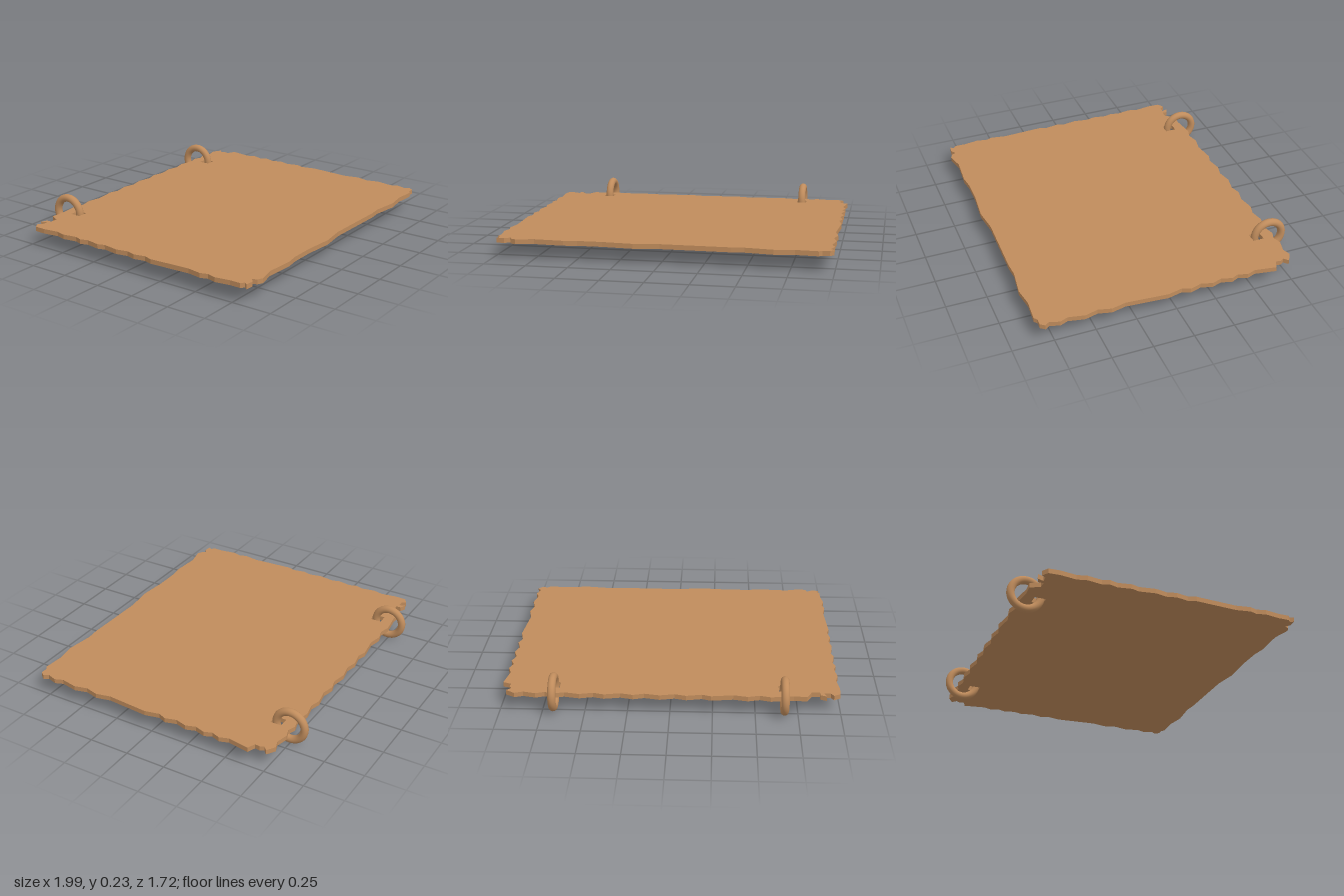
import * as THREE from 'three';

const BOARD_TOP = 0.122;
const BOARD_THICKNESS = 0.029;
const RING_XS = [-0.67, 0.683];

// Pairs of numbers to points (x, z)
function points(...n) {
  const out = [];
  for (let i = 0; i < n.length; i += 2) out.push(new THREE.Vector2(n[i], n[i + 1]));
  return out;
}

// Ragged stretch: positions along an edge, alternating between two depths
function ragged(positions, depths, alongX) {
  return positions.map((p, i) => alongX
    ? new THREE.Vector2(p, depths[i % 2])
    : new THREE.Vector2(depths[i % 2], p));
}

// Outline of the board seen from above, starting at the back right-hand corner
function boardOutline() {
  return [
    // chipped corner and notch
    ...points(-0.995, -0.72, -0.957, -0.743, -0.94, -0.717, -0.9, -0.715, -0.914, -0.754,
      -0.877, -0.738, -0.877, -0.706, -0.829, -0.706, -0.8, -0.765),
    // back edge
    ...ragged([-0.722, -0.588, -0.524, -0.455, -0.37, -0.24, -0.187, -0.096, -0.027, 0.06, 0.15,
      0.215, 0.29, 0.385, 0.45, 0.53, 0.62, 0.685, 0.733, 0.786, 0.86, 0.91], [-0.758, -0.776], true),
    // broken corner
    ...points(0.963, -0.743, 0.936, -0.717, 0.95, -0.695, 0.945, -0.663, 0.995, -0.643),
    // left side
    ...ragged([-0.51, -0.455, -0.4, -0.355, -0.29, -0.23, -0.16, -0.09, -0.04, 0.05, 0.31, 0.4,
      0.48, 0.56, 0.66, 0.71, 0.77, 0.797], [0.973, 0.993], false),
    // front edge
    ...points(0.972, 0.825, 0.93, 0.823, 0.91, 0.84, 0.775, 0.83, 0.657, 0.848, 0.49, 0.826,
      0.41, 0.833, 0, 0.825, -0.155, 0.846, -0.34, 0.83, -0.49, 0.83, -0.57, 0.842, -0.75, 0.83),
    // splintered front corner
    ...points(-0.856, 0.855, -0.888, 0.84, -0.9, 0.813, -0.93, 0.835, -0.978, 0.83, -0.963, 0.81,
      -0.984, 0.79),
    // right side
    ...ragged([0.725, 0.63, 0.575, 0.53, 0.44, 0.18, 0.13, 0.055, 0, -0.075, -0.175, -0.22,
      -0.305, -0.355, -0.4, -0.49, -0.55, -0.65], [-0.983, -0.998], false),
  ];
}

export function createModel() {
  const model = new THREE.Group();
  model.name = 'hangingBoard';
  const wood = new THREE.MeshStandardMaterial({ color: 0xc08c5c });
  wood.name = 'warmWood';

  // Board with a slot for each ring
  const shape = new THREE.Shape(boardOutline());
  for (const x of RING_XS) {
    shape.holes.push(new THREE.Path(points(
      x - 0.032, -0.7, x - 0.032, -0.632, x + 0.032, -0.632, x + 0.032, -0.7)));
  }
  const boardGeometry = new THREE.ExtrudeGeometry(shape, { depth: BOARD_THICKNESS, bevelEnabled: false });
  boardGeometry.rotateX(Math.PI / 2);
  const board = new THREE.Mesh(boardGeometry, wood);
  board.name = 'board';
  board.position.y = BOARD_TOP;
  model.add(board);

  // Hanging rings, threaded through the slots over the back edge
  const ringGeometry = new THREE.TorusGeometry(0.091, 0.024, 16, 48);
  ringGeometry.rotateY(Math.PI / 2);
  RING_XS.forEach((x, i) => {
    const ring = new THREE.Mesh(ringGeometry, wood);
    ring.name = i === 0 ? 'rightRing' : 'leftRing';
    ring.position.set(x, 0.118, -0.745);
    model.add(ring);
  });

  return model;
}
